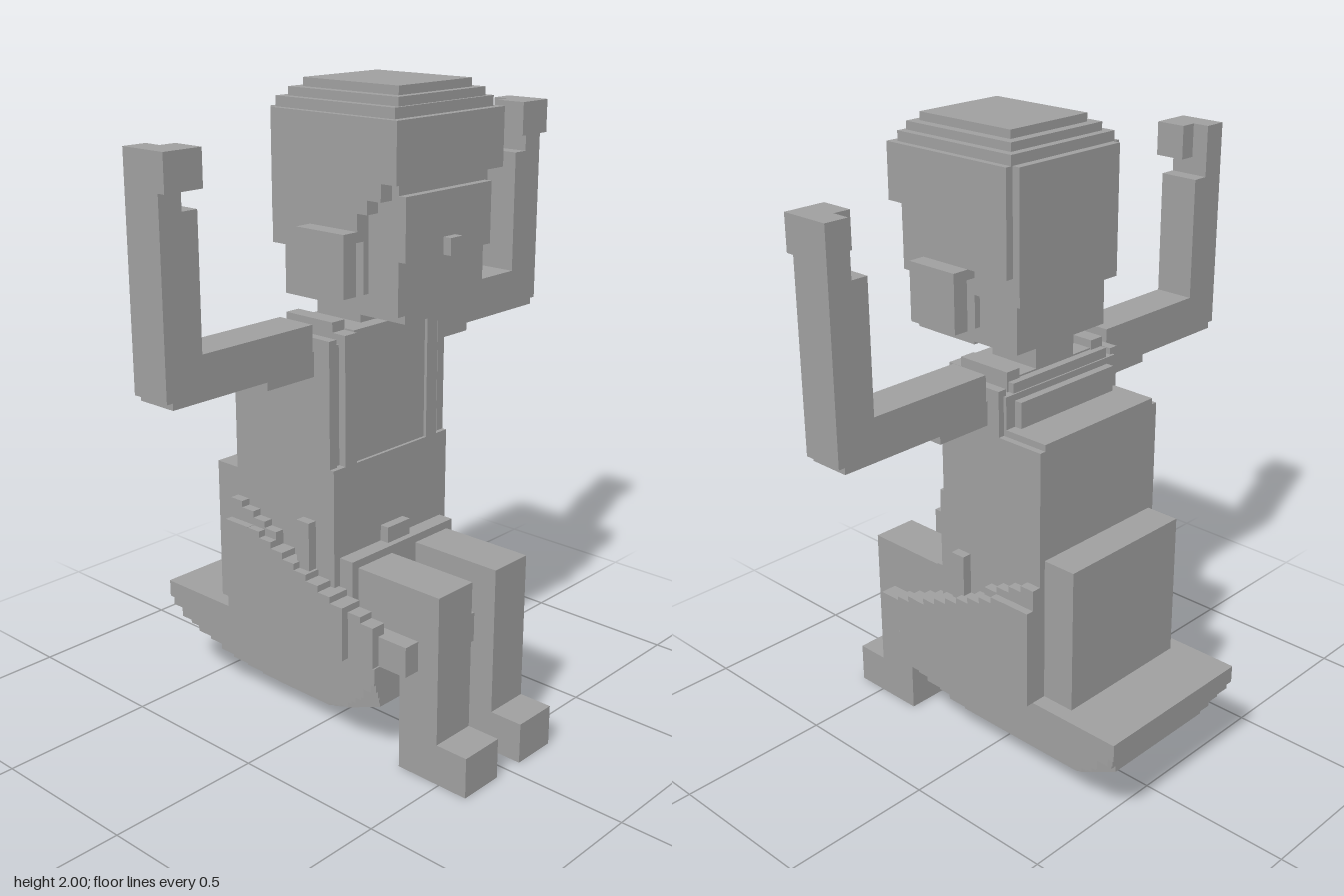
import * as THREE from 'three';

const grey = new THREE.MeshStandardMaterial({ color: 0xa0a0a0 });
grey.name = 'stone grey';

export function createModel() {
  const root = new THREE.Group();
  root.name = 'seatedFigure';

  const part = (name) => {
    const g = new THREE.Group();
    g.name = name;
    root.add(g);
    return g;
  };
  // Box given by its limits on each axis
  const box = (g, name, x0, x1, y0, y1, z0, z1) => {
    const m = new THREE.Mesh(new THREE.BoxGeometry(x1 - x0, y1 - y0, z1 - z0), grey);
    m.position.set((x0 + x1) / 2, (y0 + y1) / 2, (z0 + z1) / 2);
    m.name = name;
    g.add(m);
  };
  // Box centred on x = 0
  const mid = (g, name, hx, y0, y1, z0, z1) => box(g, name, -hx, hx, y0, y1, z0, z1);
  // Box on both sides
  const pair = (g, name, x0, x1, y0, y1, z0, z1) => {
    box(g, name + 'Left', x0, x1, y0, y1, z0, z1);
    box(g, name + 'Right', -x1, -x0, y0, y1, z0, z1);
  };

  // Stepped bowl under the seat: bottom, top, half width, back, front, corner cut
  const bowl = part('steppedBowl');
  [
    [0.29, 0.345, 0.285, -0.595, 0.315, 0.0],
    [0.265, 0.29, 0.285, -0.585, 0.315, 0.01],
    [0.235, 0.265, 0.285, -0.565, 0.305, 0.03],
    [0.21, 0.235, 0.265, -0.555, 0.285, 0.04],
    [0.185, 0.21, 0.255, -0.54, 0.265, 0.05],
    [0.16, 0.185, 0.235, -0.515, 0.24, 0.06],
    [0.13, 0.16, 0.22, -0.49, 0.22, 0.07],
    [0.105, 0.13, 0.2, -0.465, 0.18, 0.08],
    [0.08, 0.105, 0.175, -0.43, 0.14, 0.085],
    [0.055, 0.08, 0.15, -0.385, 0.095, 0.085],
    [0.03, 0.055, 0.12, -0.335, 0.05, 0.075],
  ].forEach(([y0, y1, hx, z0, z1, cut], i) => {
    const c = Math.max(cut, 0.002);
    const s = new THREE.Shape([
      [-hx + c, -z0], [-hx, -z0 - c], [-hx, -z1 + c], [-hx + c, -z1],
      [hx - c, -z1], [hx, -z1 + c], [hx, -z0 - c], [hx - c, -z0],
    ].map(([x, y]) => new THREE.Vector2(x, y)));
    const geo = new THREE.ExtrudeGeometry(s, { depth: y1 - y0, bevelEnabled: false });
    geo.rotateX(-Math.PI / 2);
    const m = new THREE.Mesh(geo, grey);
    m.position.y = y0;
    m.name = 'bowlLayer' + i;
    bowl.add(m);
  });

  // Hips: seat front, backrest block and stair-topped side guards
  const hips = part('hips');
  mid(hips, 'seatFront', 0.26, 0.345, 0.44, 0.1, 0.415);
  mid(hips, 'backBlock', 0.235, 0.345, 0.805, -0.39, -0.27);
  const steps = 12;
  for (let i = 0; i < steps; i++) {
    const z1 = 0.31 - i * 0.59 / steps;
    const top = 0.475 + 0.225 * i / (steps - 1);
    pair(hips, 'sideGuard', 0.235, i < 2 ? 0.285 : 0.31, 0.345, Math.min(top, 0.66), z1 - 0.59 / steps, z1);
    if (top > 0.63) pair(hips, 'guardCap', 0.235, 0.285, 0.6, top + 0.025, z1 - 0.59 / steps, z1);
  }
  pair(hips, 'sidePeg', 0.24, 0.285, 0.57, 0.73, 0.005, 0.055);
  mid(hips, 'belt', 0.23, 0.44, 0.625, 0.12, 0.18);
  mid(hips, 'buckle', 0.05, 0.6, 0.675, 0.12, 0.16);

  // Torso with a shallow framed chest panel
  const torso = part('torso');
  mid(torso, 'waist', 0.255, 0.345, 0.905, -0.28, 0.13);
  mid(torso, 'upperBack', 0.255, 0.9, 1.15, -0.28, -0.12);
  mid(torso, 'backTop', 0.235, 1.14, 1.17, -0.28, -0.12);
  mid(torso, 'chest', 0.235, 0.9, 1.27, -0.13, 0.105);
  mid(torso, 'chestPanel', 0.157, 0.885, 1.305, -0.1, 0.12);
  pair(torso, 'chestFrame', 0.157, 0.205, 0.9, 1.3, 0.0, 0.13);
  pair(torso, 'sideStrip', 0.225, 0.255, 0.905, 1.29, -0.12, 0.115);
  mid(torso, 'napeStep', 0.2, 1.16, 1.25, -0.155, -0.1);
  mid(torso, 'collar', 0.2, 1.25, 1.3, -0.125, 0.08);
  pair(torso, 'shoulderStrap', 0.155, 0.205, 1.27, 1.33, -0.105, 0.08);
  mid(torso, 'neck', 0.08, 1.28, 1.39, -0.1, 0.075);

  // Raised arms
  const arms = part('arms');
  pair(arms, 'sleeve', 0.235, 0.44, 1.175, 1.25, -0.075, 0.055);
  pair(arms, 'upperArm', 0.26, 0.78, 1.2, 1.33, -0.075, 0.055);
  pair(arms, 'forearm', 0.673, 0.8, 1.22, 1.715, -0.075, 0.055);
  pair(arms, 'wrist', 0.725, 0.8, 1.7, 1.78, -0.075, 0.055);
  pair(arms, 'hand', 0.673, 0.8, 1.77, 1.875, -0.02, 0.08);
  pair(arms, 'handBack', 0.725, 0.8, 1.77, 1.875, -0.075, -0.015);

  // Legs hanging over the front
  const legs = part('legs');
  pair(legs, 'thigh', 0.055, 0.205, 0.435, 0.6, 0.12, 0.49);
  pair(legs, 'shin', 0.055, 0.205, 0, 0.5, 0.345, 0.49);
  pair(legs, 'foot', 0.055, 0.205, 0, 0.13, 0.345, 0.6);

  // Head
  const head = part('head');
  mid(head, 'jaw', 0.155, 1.355, 1.39, 0.075, 0.31);
  mid(head, 'skull', 0.185, 1.38, 1.75, -0.125, 0.31);
  mid(head, 'upperFace', 0.185, 1.535, 1.715, 0.3, 0.335);
  mid(head, 'nose', 0.025, 1.535, 1.585, 0.33, 0.362);
  pair(head, 'cheek', 0.18, 0.205, 1.43, 1.62, 0.02, 0.2);
  pair(head, 'ear', 0.235, 0.285, 1.43, 1.61, 0.02, 0.2);
  pair(head, 'earRoot', 0.18, 0.24, 1.58, 1.61, 0.02, 0.2);

  // Hair block with stepped crown and side locks
  const hair = part('hair');
  mid(hair, 'hairTop', 0.23, 1.75, 1.92, -0.13, 0.34);
  mid(hair, 'hairBack', 0.205, 1.53, 1.92, -0.155, -0.1);
  pair(hair, 'hairSide', 0.18, 0.23, 1.61, 1.76, -0.13, 0.2);
  pair(hair, 'lowerHairSide', 0.18, 0.205, 1.53, 1.62, -0.13, 0.02);
  pair(hair, 'sideLock', 0.18, 0.23, 1.66, 1.76, 0.19, 0.235);
  pair(hair, 'frontLock', 0.18, 0.23, 1.7, 1.76, 0.23, 0.285);
  [
    [0.21, 1.92, 1.95, -0.13, 0.315],
    [0.185, 1.95, 1.975, -0.105, 0.305],
    [0.155, 1.975, 2.0, -0.075, 0.28],
  ].forEach((s, i) => mid(hair, 'crownStep' + i, ...s));

  return root;
}
